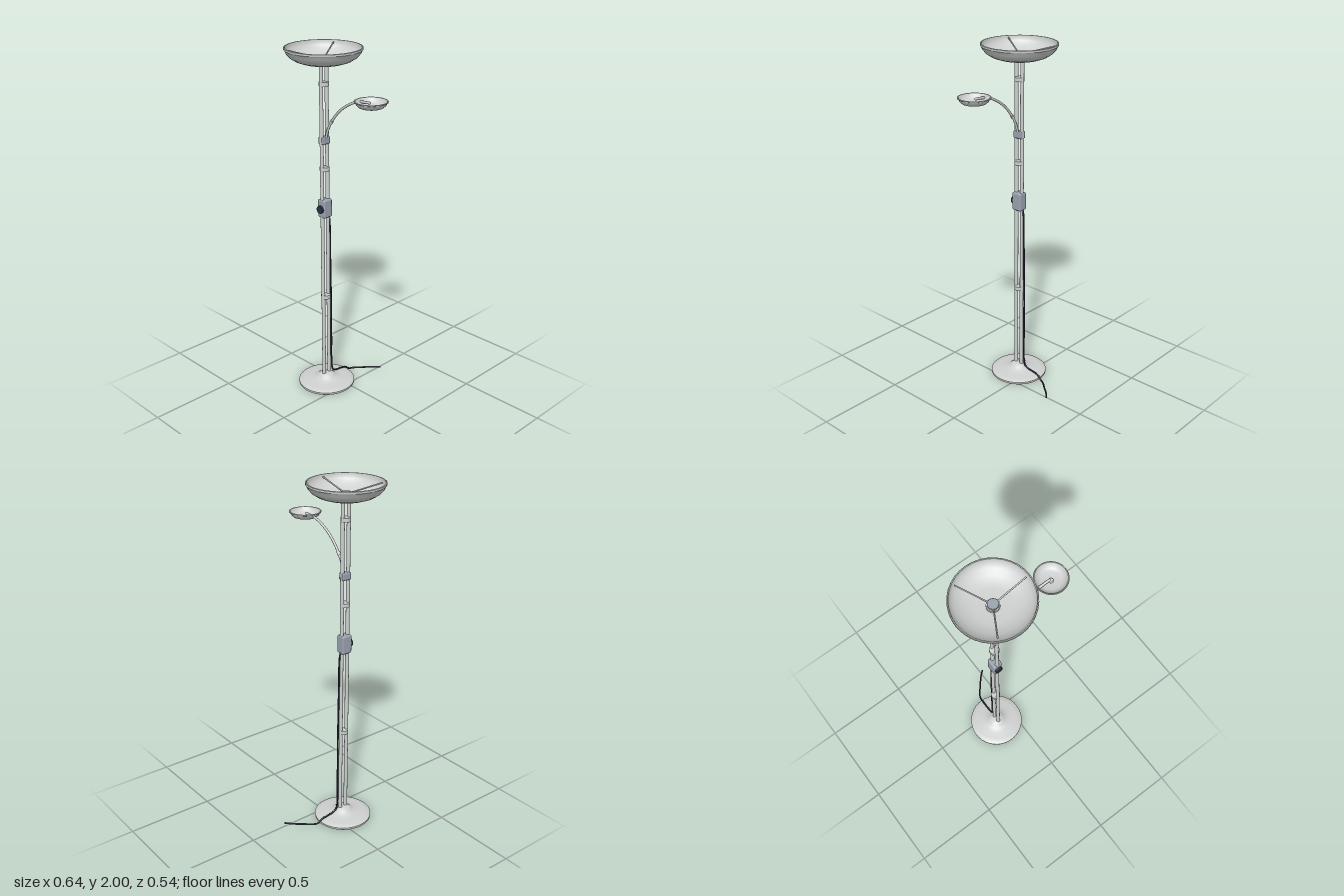
import * as THREE from 'three';
import { toCreasedNormals } from 'three/addons/utils/BufferGeometryUtils.js';
import { RoundedBoxGeometry } from 'three/addons/geometries/RoundedBoxGeometry.js';

const material = (name, color) => {
  const m = new THREE.MeshStandardMaterial({ color });
  m.name = name;
  return m;
};

export function createModel() {
  const metal = material('brushed metal', 0xcdd0cf);
  const plastic = material('blue grey plastic', 0x9ba3b0);
  const dark = material('dark navy rubber', 0x2f3040);

  const model = new THREE.Group();
  model.name = 'floorLamp';
  // Everything in this group is measured from the axis of the stand
  const lamp = new THREE.Group();
  lamp.name = 'lamp';
  lamp.position.set(-0.113, 0, 0.062);
  model.add(lamp);

  const add = (name, geometry, mat, x = 0, y = 0, z = 0) => {
    const mesh = new THREE.Mesh(geometry, mat);
    mesh.name = name;
    mesh.position.set(x, y, z);
    lamp.add(mesh);
    return mesh;
  };
  const lathe = (points, segments = 40) => toCreasedNormals(
    new THREE.LatheGeometry(points.map(([r, y]) => new THREE.Vector2(r, y)), segments), 0.6);
  const tube = (points, radius, segments = 48) => new THREE.TubeGeometry(
    new THREE.CatmullRomCurve3(points.map((p) => new THREE.Vector3(...p))), segments, radius, 10);
  const rod = (r, h, sides = 20) => new THREE.CylinderGeometry(r, r, h, sides);

  // Weighted foot with a small raised dome
  add('base', lathe([
    [0, 0.004], [0.158, 0.004], [0.163, 0.008], [0.164, 0.02], [0.158, 0.025], [0.13, 0.029],
    [0.09, 0.034], [0.065, 0.04], [0.05, 0.05], [0.036, 0.062], [0.025, 0.066], [0, 0.066],
  ]), metal);

  // Twin poles, one behind the other
  for (const side of [1, -1]) {
    add(side > 0 ? 'frontPole' : 'backPole', rod(0.0105, 1.88), metal, 0, 0.99, side * 0.02);
  }

  // Round clips that hold the poles together
  for (const y of [0.57, 1.34, 1.807]) add('poleClip', rod(0.027, 0.022, 24), metal, 0, y, 0);

  // Large uplight bowl
  add('bowl', lathe([
    [0, 1.915], [0.09, 1.915], [0.115, 1.919], [0.15, 1.931], [0.18, 1.95], [0.197, 1.97],
    [0.203, 1.985], [0.207, 1.988], [0.207, 1.998], [0.205, 2], [0.2, 2], [0.199, 1.988],
    [0.193, 1.972], [0.176, 1.954], [0.147, 1.936], [0.113, 1.925], [0.09, 1.921], [0, 1.921],
  ], 36), metal);
  add('hubCollar', rod(0.033, 0.016, 28), metal, 0, 1.928, 0);
  add('hub', rod(0.027, 0.03, 28), plastic, 0, 1.934, 0);

  // Three thin struts rising from the hub to the rim
  for (let i = 0; i < 3; i++) {
    const a = (i * Math.PI * 2) / 3;
    const at = (r, y) => new THREE.Vector3(r * Math.cos(a), y, r * Math.sin(a));
    add('strut', new THREE.TubeGeometry(
      new THREE.LineCurve3(at(0.02, 1.943), at(0.188, 1.989)), 1, 0.004, 8), metal);
  }

  // Curved reading arm with its clamp and joint
  add('armClamp', new RoundedBoxGeometry(0.038, 0.04, 0.056, 2, 0.006), plastic, 0, 1.5, 0);
  add('readingArm', tube([
    [0.006, 1.49, 0], [0.028, 1.56, 0], [0.06, 1.617, 0], [0.123, 1.686, 0],
    [0.203, 1.737, 0], [0.262, 1.757, 0], [0.333, 1.764, 0],
  ], 0.007), metal);
  add('armTip', new THREE.SphereGeometry(0.007, 12, 8), metal, 0.333, 1.764, 0);
  add('armJoint', rod(0.0095, 0.018, 16), metal, 0.056, 1.611, 0).rotation.z = -0.6;

  // Small reading shade with a hole in the middle
  add('readingShade', lathe([
    [0.013, 1.74], [0.05, 1.74], [0.064, 1.745], [0.076, 1.756], [0.082, 1.768], [0.087, 1.77],
    [0.088, 1.775], [0.086, 1.777], [0.082, 1.776], [0.078, 1.768], [0.072, 1.758],
    [0.061, 1.75], [0.049, 1.745], [0.013, 1.745], [0.013, 1.74],
  ], 32), metal, 0.344, 0, 0);

  // Dimmer box with its knob
  add('dimmerBox', new RoundedBoxGeometry(0.054, 0.105, 0.062, 3, 0.009), plastic, 0, 1.112, 0);
  add('dimmerKnob', rod(0.022, 0.014, 24), dark, 0, 1.11, 0.036).rotation.x = Math.PI / 2;
  add('cordSleeve', rod(0.007, 0.014, 12), dark, 0, 1.056, -0.024);

  // Mains cord hanging behind the poles and trailing over the foot
  add('cord', tube([
    [0, 1.07, -0.026], [0, 1.03, -0.034], [0, 0.9, -0.036], [0, 0.6, -0.04], [0, 0.3, -0.041],
    [0, 0.1, -0.042], [0, 0.064, -0.05], [0, 0.05, -0.07], [0, 0.042, -0.12], [0.002, 0.034, -0.155],
    [0.006, 0.014, -0.18], [0.018, 0.012, -0.207], [0.054, 0.012, -0.25], [0.09, 0.012, -0.293],
    [0.131, 0.012, -0.33],
  ], 0.005, 120), dark);

  return model;
}
